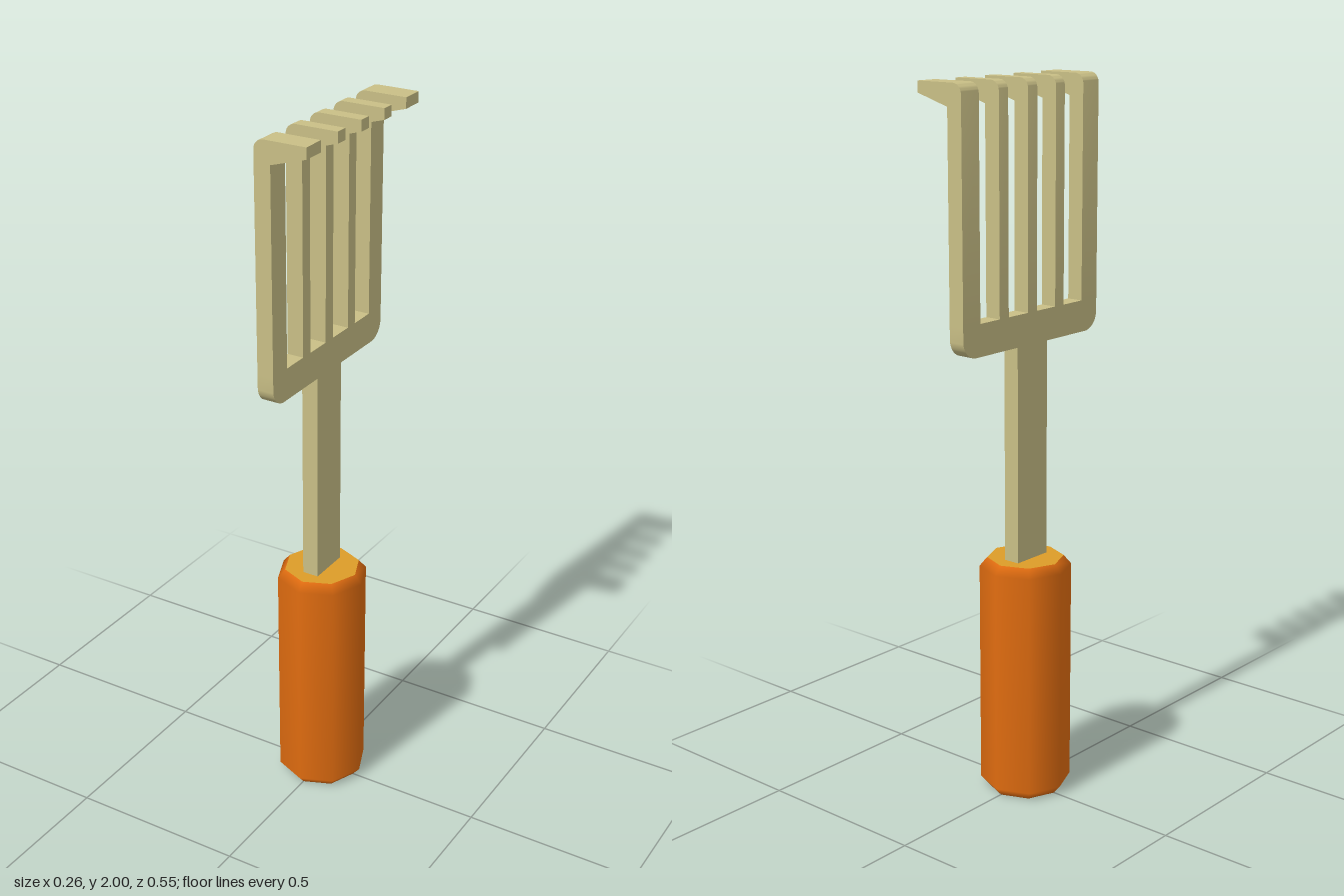
import * as THREE from 'three';
import { toCreasedNormals } from 'three/addons/utils/BufferGeometryUtils.js';

const BACK = -0.025, FRONT = 0.022; // metal thickness along x

export function createModel() {
  const model = new THREE.Group();
  const mat = (name, color) => Object.assign(new THREE.MeshStandardMaterial({ color }), { name });
  const metal = mat('paleMetal', 0xc9bf86);
  const orange = mat('orangeGrip', 0xe06c10);
  const amber = mat('amberCap', 0xdc9c28);

  const add = (name, geometry, material) => {
    const mesh = new THREE.Mesh(geometry, material);
    mesh.name = name;
    model.add(mesh);
    return mesh;
  };
  const extrude = (shape, depth) => toCreasedNormals(
    new THREE.ExtrudeGeometry(shape, { depth, bevelEnabled: false, curveSegments: 6 }), 0.6);

  // Eight-sided grip with softened rims
  const profile = [[0, 0], [0.107, 0], [0.128, 0.025], [0.128, 0.665], [0.107, 0.69]]
    .map(([r, y]) => new THREE.Vector2(r, y));
  add('handle', new THREE.LatheGeometry(profile, 8), orange);
  const cap = new THREE.CircleGeometry(0.107, 8).rotateX(-Math.PI / 2);
  add('handleCap', cap.translate(0, 0.69, 0), amber);

  // Shank and crossbar cut from one plate, drawn in the z-y plane
  const plate = new THREE.Shape();
  const w = 0.275, r = 0.05, low = 1.297, high = 1.385;
  plate.moveTo(-0.061, 0.68);
  plate.lineTo(0.061, 0.68);
  plate.lineTo(0.061, low);
  plate.lineTo(w - r, low);
  plate.absarc(w - r, low + r, r, -Math.PI / 2, 0, false);
  plate.lineTo(w, high);
  plate.lineTo(-w, high);
  plate.lineTo(-w, low + r);
  plate.absarc(-w + r, low + r, r, Math.PI, Math.PI * 1.5, false);
  plate.lineTo(-0.061, low);
  add('shankAndCrossbar',
    extrude(plate, FRONT - BACK).rotateY(-Math.PI / 2).translate(FRONT, 0, 0), metal);

  // Hooked tine side profile, shared by all five tines
  const tine = new THREE.Shape();
  const bend = 0.028;
  tine.moveTo(BACK, high);
  tine.lineTo(FRONT, high);
  tine.lineTo(FRONT, 1.94);
  tine.lineTo(0.123, 1.97);
  tine.lineTo(0.123, 2);
  tine.lineTo(BACK + bend, 2);
  tine.absarc(BACK + bend, 2 - bend, bend, Math.PI / 2, Math.PI, false);
  tine.lineTo(BACK, high);

  const tines = [[-0.242, 0.066], [-0.115, 0.036], [0, 0.037], [0.113, 0.036], [0.242, 0.066]];
  tines.forEach(([z, width], i) => {
    add(`tine${i + 1}`, extrude(tine, width).translate(0, 0, z - width / 2), metal);
  });

  return model;
}
